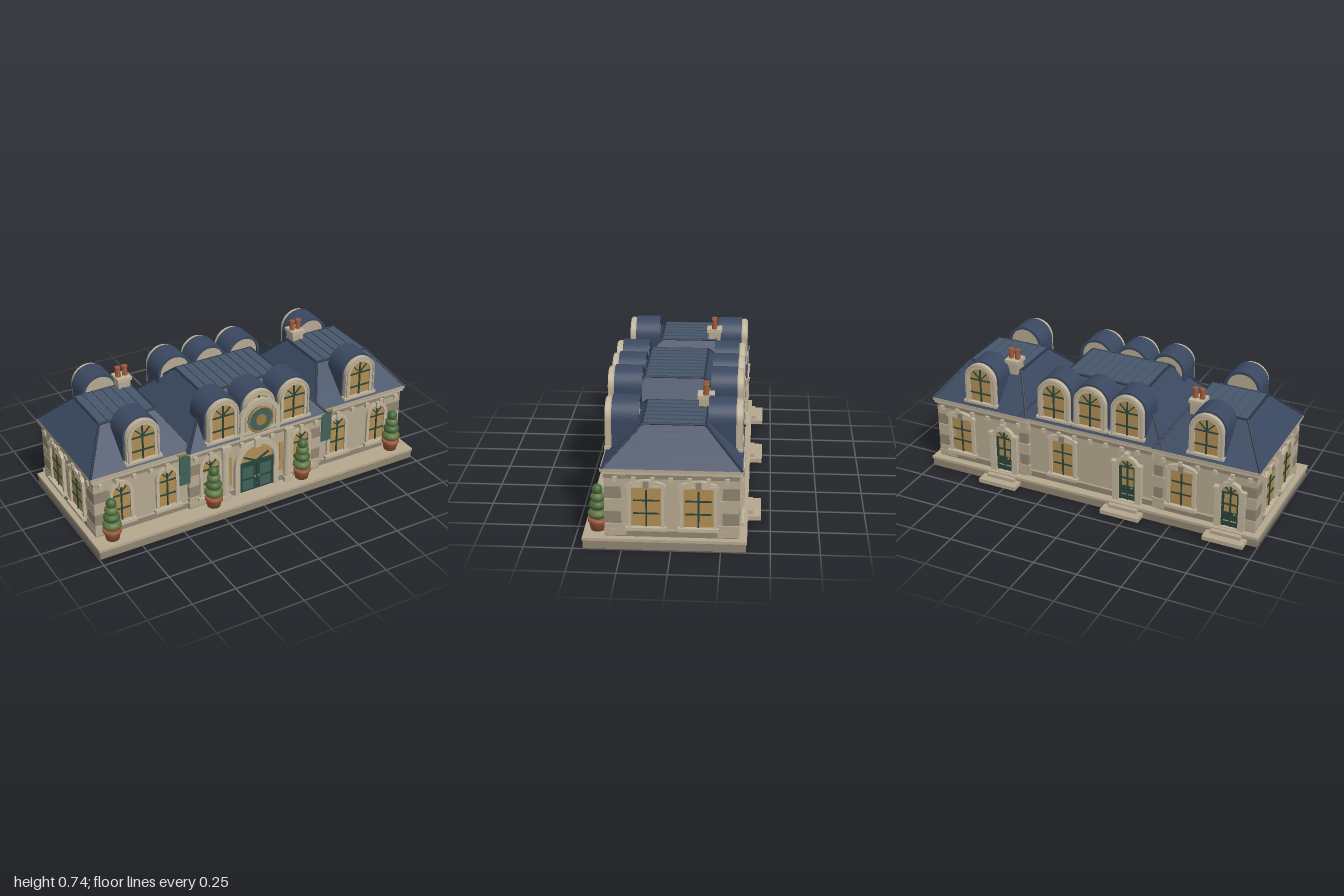
import * as THREE from 'three';

const C = {
  stone: 0xb5a88f, pale: 0xbfb39b, dark: 0x8f8471, slate: 0x3a4860, metal: 0x46566a, ridge: 0x2c3748,
  glass: 0xb08d52, teal: 0x28443b, banner: 0x3f6058, gold: 0x9a7a42, clay: 0x9c5a3a, leaf: 0x47663a, leaf2: 0x5d7340,
};
const mats = {};
const mat = (c) => (mats[c] ??= new THREE.MeshStandardMaterial({ color: C[c] }));

function add(parent, name, geo, c, x = 0, y = 0, z = 0) {
  const m = new THREE.Mesh(geo, mat(c));
  m.name = name;
  m.position.set(x, y, z);
  parent.add(m);
  return m;
}
const box = (p, name, c, w, h, d, x, y, z) => add(p, name, new THREE.BoxGeometry(w, h, d), c, x, y, z);
// box given by its limits
const span = (p, name, c, x0, x1, y0, y1, z0, z1) =>
  box(p, name, c, x1 - x0, y1 - y0, z1 - z0, (x0 + x1) / 2, (y0 + y1) / 2, (z0 + z1) / 2);

function group(parent, name, x = 0, y = 0, z = 0, ry = 0) {
  const g = new THREE.Group();
  g.name = name;
  g.position.set(x, y, z);
  g.rotation.y = ry;
  parent.add(g);
  return g;
}

// round-headed outline: half width, foot, springing height
function arch(hw, y0, spring, T = THREE.Shape) {
  const s = new T();
  s.moveTo(-hw, y0).lineTo(hw, y0).lineTo(hw, spring);
  s.absarc(0, spring, hw, 0, Math.PI, false);
  s.lineTo(-hw, y0);
  return s;
}
const extrude = (s, depth) => new THREE.ExtrudeGeometry(s, { depth, bevelEnabled: false, curveSegments: 18 });
function archRing(hw, t, y0, spring, depth) {
  const s = arch(hw + t, y0, spring);
  s.holes.push(arch(hw, y0 + 0.004, spring, THREE.Path));
  return extrude(s, depth);
}

// upright and cross bars of a window, foot at y = 0
function bars(g, w, h, z, levels, spring) {
  box(g, 'mullion', 'teal', 0.008, h, 0.008, 0, h / 2, z);
  for (const f of levels) box(g, 'crossBar', 'teal', w, 0.007, 0.008, 0, h * f, z);
  if (spring !== undefined) for (const s of [-1, 1]) {
    const b = box(g, 'fanBar', 'teal', 0.006, w * 0.45, 0.006, s * w * 0.16, spring + w * 0.16, z);
    b.rotation.z = -s * Math.PI / 4;
  }
}

function archWindow(parent, x, y, z, w = 0.1, h = 0.23, ry = 0) {
  const g = group(parent, 'archedWindow', x, y, z, ry), sp = h - w / 2;
  add(g, 'glass', extrude(arch(w / 2, 0, sp), 0.004), 'glass');
  add(g, 'surround', archRing(w / 2, 0.018, 0, sp, 0.014), 'pale');
  bars(g, w, h, 0.006, [0.33, 0.7], sp);
  box(g, 'sill', 'pale', w + 0.06, 0.018, 0.03, 0, -0.009, 0.012);
  box(g, 'keystone', 'pale', 0.024, 0.036, 0.024, 0, h + 0.008, 0.01);
}

function rectWindow(parent, x, z, ry, w = 0.15) {
  const g = group(parent, 'rectangularWindow', x, 0.12, z, ry), h = 0.215;
  box(g, 'glass', 'glass', w, h, 0.006, 0, h / 2, 0.003);
  bars(g, w * 0.88, h * 0.92, 0.008, [0.36, 0.72]);
  for (const s of [-1, 1]) box(g, 'jamb', 'pale', 0.018, h, 0.02, s * (w / 2 + 0.009), h / 2, 0.008);
  box(g, 'lintel', 'pale', w + 0.05, 0.012, 0.024, 0, h + 0.006, 0.01);
  box(g, 'sill', 'pale', w + 0.055, 0.018, 0.034, 0, -0.009, 0.014);
  const hw = w / 2 + 0.022;
  const ped = new THREE.Shape([[-hw, 0], [hw, 0], [hw - 0.01, 0.012], [0, 0.034], [-hw + 0.01, 0.012]].map((p) => new THREE.Vector2(...p)));
  add(g, 'pediment', extrude(ped, 0.02), 'pale', 0, h + 0.01);
  box(g, 'keystone', 'dark', 0.03, 0.034, 0.026, 0, h + 0.018, 0.012);
}

function backDoor(parent, x, z) {
  const g = group(parent, 'backDoor', x, 0.06, z, Math.PI);
  add(g, 'glass', extrude(arch(0.05, 0, 0.21), 0.004), 'glass');
  add(g, 'surround', archRing(0.05, 0.022, 0, 0.21, 0.026), 'pale');
  box(g, 'doorPanel', 'teal', 0.1, 0.09, 0.008, 0, 0.045, 0.004);
  for (const s of [-1, 1]) {
    box(g, 'stile', 'teal', 0.012, 0.21, 0.012, s * 0.043, 0.105, 0.006);
    box(g, 'pier', 'pale', 0.018, 0.23, 0.03, s * 0.076, 0.115, 0.012);
    box(g, 'pierCap', 'pale', 0.03, 0.016, 0.036, s * 0.076, 0.235, 0.014);
  }
  bars(g, 0.1, 0.255, 0.008, [0.55, 0.82], 0.21);
  box(g, 'keystone', 'pale', 0.026, 0.04, 0.034, 0, 0.285, 0.016);
  add(g, 'knob', new THREE.SphereGeometry(0.006, 10, 8), 'gold', 0.025, 0.085, 0.014);
}

// rings of four corners stitched upward into a hipped roof with lapped courses
function hipRoof(parent, name, b, t, y0, y1, n) {
  const ring = (f, e, y) => {
    const [x0, x1, z0, z1] = b.map((v, i) => v + (t[i] - v) * f + (i % 2 ? e : -e));
    return [[x0, y, z1], [x1, y, z1], [x1, y, z0], [x0, y, z0]];
  };
  const rings = [];
  for (let k = 0; k < n; k++) for (const [f, e] of [[k / n, 0.004], [(k + 1) / n, 0]]) rings.push(ring(f, e, y0 + (y1 - y0) * f));
  const pos = [], quad = (p, q, r, s) => pos.push(...p, ...q, ...r, ...p, ...r, ...s);
  for (let k = 0; k + 1 < rings.length; k++) for (let i = 0; i < 4; i++) {
    const j = (i + 1) % 4;
    quad(rings[k][i], rings[k][j], rings[k + 1][j], rings[k + 1][i]);
  }
  const low = rings[0], top = rings[rings.length - 1];
  quad(...top);
  quad(...[...low].reverse());
  const geo = new THREE.BufferGeometry();
  geo.setAttribute('position', new THREE.Float32BufferAttribute(pos, 3));
  geo.computeVertexNormals();
  const g = group(parent, name);
  add(g, 'slates', geo, 'slate');
  // hip rolls and the kerb round the flat top
  for (let i = 0; i < 4; i++) for (const to of [top[i], top[(i + 1) % 4]]) {
    const from = to === top[i] ? low[i] : top[i];
    const path = new THREE.LineCurve3(new THREE.Vector3(...from), new THREE.Vector3(...to));
    add(g, 'ridgeRoll', new THREE.TubeGeometry(path, 1, 0.007, 6), 'ridge');
  }
  const [x0, x1, z0, z1] = t, m = Math.round((x1 - x0) / 0.055);
  span(g, 'flatTop', 'metal', x0, x1, y1, y1 + 0.004, z0, z1);
  for (let i = 1; i < m; i++) box(g, 'seam', 'metal', 0.008, 0.01, z1 - z0, x0 + (x1 - x0) * i / m, y1 + 0.005, (z0 + z1) / 2);
}

function dormer(parent, x, z, ry, depth = 0.16) {
  const g = group(parent, 'dormer', x, 0.455, z, ry);
  add(g, 'dormerBody', extrude(arch(0.094, 0, 0.15), depth - 0.015), 'stone', 0, 0, 0.01 - depth);
  add(g, 'barrelRoof', archRing(0.09, 0.015, 0, 0.15, depth - 0.02), 'slate', 0, 0, -depth);
  add(g, 'dormerFrame', archRing(0.066, 0.03, 0, 0.15, 0.02), 'pale', 0, 0, -0.012);
  add(g, 'archMoulding', archRing(0.082, 0.008, 0, 0.15, 0.01), 'stone', 0, 0, 0.005);
  add(g, 'glass', extrude(arch(0.068, 0.01, 0.15), 0.004), 'glass', 0, 0, -0.006);
  bars(g, 0.135, 0.215, 0.001, [0.3, 0.68], 0.15);
  box(g, 'dormerSill', 'pale', 0.21, 0.014, 0.035, 0, 0.005, 0);
}

function topiary(parent, x) {
  const g = group(parent, 'topiary', x, 0.06, 0.38);
  const pot = [[0, 0], [0.036, 0], [0.046, 0.045], [0.051, 0.048], [0.051, 0.063], [0.043, 0.063], [0, 0.058]];
  add(g, 'pot', new THREE.LatheGeometry(pot.map((p) => new THREE.Vector2(...p)), 20), 'clay');
  [[0.052, 0.09], [0.045, 0.137], [0.037, 0.18], [0.028, 0.22]].forEach(([r, y], i) =>
    add(g, 'foliageTier', new THREE.SphereGeometry(r, 16, 12), i % 2 ? 'leaf' : 'leaf2', 0, y, 0).scale.set(1, 0.03 / r, 1));
}

function quoins(parent, x, z) {
  for (let i = 0; i < 5; i++) {
    const w = i % 2 ? 0.085 : 0.11;
    box(parent, 'quoin', i % 2 ? 'dark' : 'stone', w, 0.064, w, x - Math.sign(x) * (w / 2), 0.097 + i * 0.068, z - Math.sign(z) * (w / 2));
  }
}

// modillions along a wall face between two x limits
function modillions(parent, x0, x1, z, ry = 0, n = Math.round((x1 - x0) / 0.09)) {
  const g = group(parent, 'modillions', 0, 0, 0, ry);
  for (let i = 0; i <= n; i++) box(g, 'modillion', 'pale', 0.022, 0.026, 0.02, x0 + (x1 - x0) * i / n, 0.377, z);
}

export function createModel() {
  const root = new THREE.Group();
  root.name = 'mansion';

  // terrace and back steps
  span(root, 'terrace', 'dark', -0.995, 0.995, 0, 0.046, -0.378, 0.447);
  span(root, 'terracePaving', 'stone', -1, 1, 0.045, 0.06, -0.382, 0.45);
  const doors = [[-0.825, -0.335], [-0.225, -0.325], [0.535, -0.335]];
  for (const [x, z] of doors) {
    span(root, 'lowerStep', 'stone', x - 0.115, x + 0.115, 0.012, 0.035, -0.45, -0.37);
    span(root, 'upperStep', 'stone', x - 0.085, x + 0.085, 0.035, 0.054, -0.407, -0.37);
    backDoor(root, x, z);
  }

  // wall blocks, plinth, frieze and cornice: [x0, x1, z0, z1]
  const blocks = [[-0.96, -0.41, -0.335, 0.33], [0.41, 0.96, -0.335, 0.33], [-0.41, 0.41, -0.325, 0.345]];
  for (const [x0, x1, z0, z1] of blocks) {
    const layer = (name, c, y0, y1, e) => span(root, name, c, x0 - e, x1 + e, y0, y1, z0 - e, z1 + e);
    layer('wall', 'stone', 0.06, 0.415, 0);
    layer('plinth', 'dark', 0.06, 0.094, 0.006);
    layer('plinthCap', 'stone', 0.094, 0.1, 0.009);
    layer('frieze', 'dark', 0.378, 0.402, 0.007);
    layer('cornice', 'pale', 0.405, 0.42, 0.018);
    layer('gutter', 'stone', 0.42, 0.436, 0.024);
    modillions(root, x0 + 0.03, x1 - 0.03, z1 + 0.01);
    modillions(root, -x1 + 0.03, -x0 - 0.03, -z0 + 0.01, Math.PI);
  }
  for (const s of [-1, 1]) modillions(root, -0.28, 0.28, 0.968, s * Math.PI / 2, 6);

  // roofs
  hipRoof(root, 'centreRoof', [-0.43, 0.43, -0.345, 0.38], [-0.24, 0.24, -0.13, 0.19], 0.436, 0.655, 8);
  hipRoof(root, 'rightWingRoof', [-0.98, -0.385, -0.352, 0.345], [-0.835, -0.51, -0.165, 0.152], 0.436, 0.622, 7);
  hipRoof(root, 'leftWingRoof', [0.385, 0.98, -0.352, 0.345], [0.51, 0.835, -0.165, 0.152], 0.436, 0.622, 7);
  for (const x of [-0.22, 0, 0.22]) {
    dormer(root, x, 0.37, 0, 0.17);
    dormer(root, x, -0.33, Math.PI);
  }

  for (const s of [-1, 1]) {
    dormer(root, s * 0.675, 0.335, 0);
    dormer(root, s * 0.675, -0.335, Math.PI);

    // chimney
    const ch = group(root, 'chimney', s * 0.555, 0, -0.155);
    box(ch, 'stack', 'stone', 0.07, 0.17, 0.072, 0, 0.585, 0);
    box(ch, 'stackCap', 'pale', 0.084, 0.02, 0.088, 0, 0.675, 0);
    for (const p of [-1, 1]) {
      add(ch, 'chimneyPot', new THREE.CylinderGeometry(0.013, 0.016, 0.055, 14), 'clay', p * 0.02, 0.711, 0);
      add(ch, 'potRim', new THREE.CylinderGeometry(0.017, 0.017, 0.008, 14), 'clay', p * 0.02, 0.737, 0);
    }

    // corners
    for (const z of [-0.342, 0.337]) quoins(root, s * 0.967, z);
    quoins(root, s * 0.415, 0.352);
    for (let i = 0; i < 5; i++) box(root, 'backQuoin', i % 2 ? 'dark' : 'stone', i % 2 ? 0.05 : 0.07, 0.064, 0.02, s * 0.41, 0.097 + i * 0.068, -0.334);

    // side and front windows
    for (const z of [0.125, -0.137]) rectWindow(root, s * 0.96, z, s * Math.PI / 2);
    for (const x of [0.81, 0.54]) archWindow(root, s * x, 0.12, 0.33);
    archWindow(root, s * 0.285, 0.12, 0.345);

    // portico column and sidelight
    span(root, 'sidelight', 'glass', s * 0.163 - 0.012, s * 0.163 + 0.012, 0.13, 0.31, 0.34, 0.35);
    add(root, 'column', new THREE.CylinderGeometry(0.02, 0.023, 0.29, 20), 'pale', s * 0.198, 0.235, 0.358);
    box(root, 'columnBase', 'pale', 0.054, 0.03, 0.05, s * 0.198, 0.075, 0.358);
    box(root, 'columnCapital', 'pale', 0.054, 0.026, 0.05, s * 0.198, 0.392, 0.358);

    // hanging banner
    box(root, 'banner', 'banner', 0.065, 0.19, 0.005, s * 0.447, 0.335, 0.362);
    box(root, 'bannerPole', 'gold', 0.078, 0.008, 0.014, s * 0.447, 0.43, 0.36);

    topiary(root, s * 0.282);
    topiary(root, s * 0.89);
  }
  for (const [x, z] of [[0.81, -0.335], [0.17, -0.325], [-0.545, -0.335]]) rectWindow(root, x, z, Math.PI, 0.13);

  // main entrance
  const d = group(root, 'mainEntrance', 0, 0.06, 0.345);
  add(d, 'fanlight', extrude(arch(0.108, 0, 0.185), 0.004), 'glass');
  add(d, 'entranceArch', archRing(0.108, 0.03, 0, 0.185, 0.022), 'pale');
  box(d, 'transom', 'teal', 0.216, 0.012, 0.016, 0, 0.183, 0.006);
  for (const s of [-1, 1]) {
    box(d, 'doorLeaf', 'teal', 0.106, 0.178, 0.014, s * 0.0545, 0.089, 0.006);
    for (const [y, h] of [[0.045, 0.06], [0.125, 0.07]]) box(d, 'doorPanel', 'banner', 0.07, h, 0.006, s * 0.056, y, 0.012);
    const b = box(d, 'fanBar', 'teal', 0.008, 0.085, 0.01, s * 0.04, 0.205, 0.008);
    b.rotation.z = -s * 1.1;
    add(d, 'doorKnob', new THREE.SphereGeometry(0.006, 10, 8), 'gold', s * 0.012, 0.09, 0.018);
  }
  box(d, 'keystone', 'pale', 0.04, 0.055, 0.034, 0, 0.31, 0.014);

  // arched gable with round medallion
  const m = group(root, 'medallionGable', 0, 0.53, 0.365);
  add(m, 'gable', extrude(arch(0.11, -0.095, 0), 0.014), 'stone');
  add(m, 'gableArch', archRing(0.1, 0.024, -0.095, 0, 0.024), 'pale');
  const disc = (name, c, r, z) => { add(m, name, new THREE.CylinderGeometry(r, r, 0.014, 32), c, 0, 0, z).rotation.x = Math.PI / 2; };
  disc('medallion', 'banner', 0.075, 0.024);
  add(m, 'medallionRim', new THREE.TorusGeometry(0.074, 0.006, 8, 36), 'gold', 0, 0, 0.03);
  disc('medallionBoss', 'gold', 0.032, 0.03);
  return root;
}
